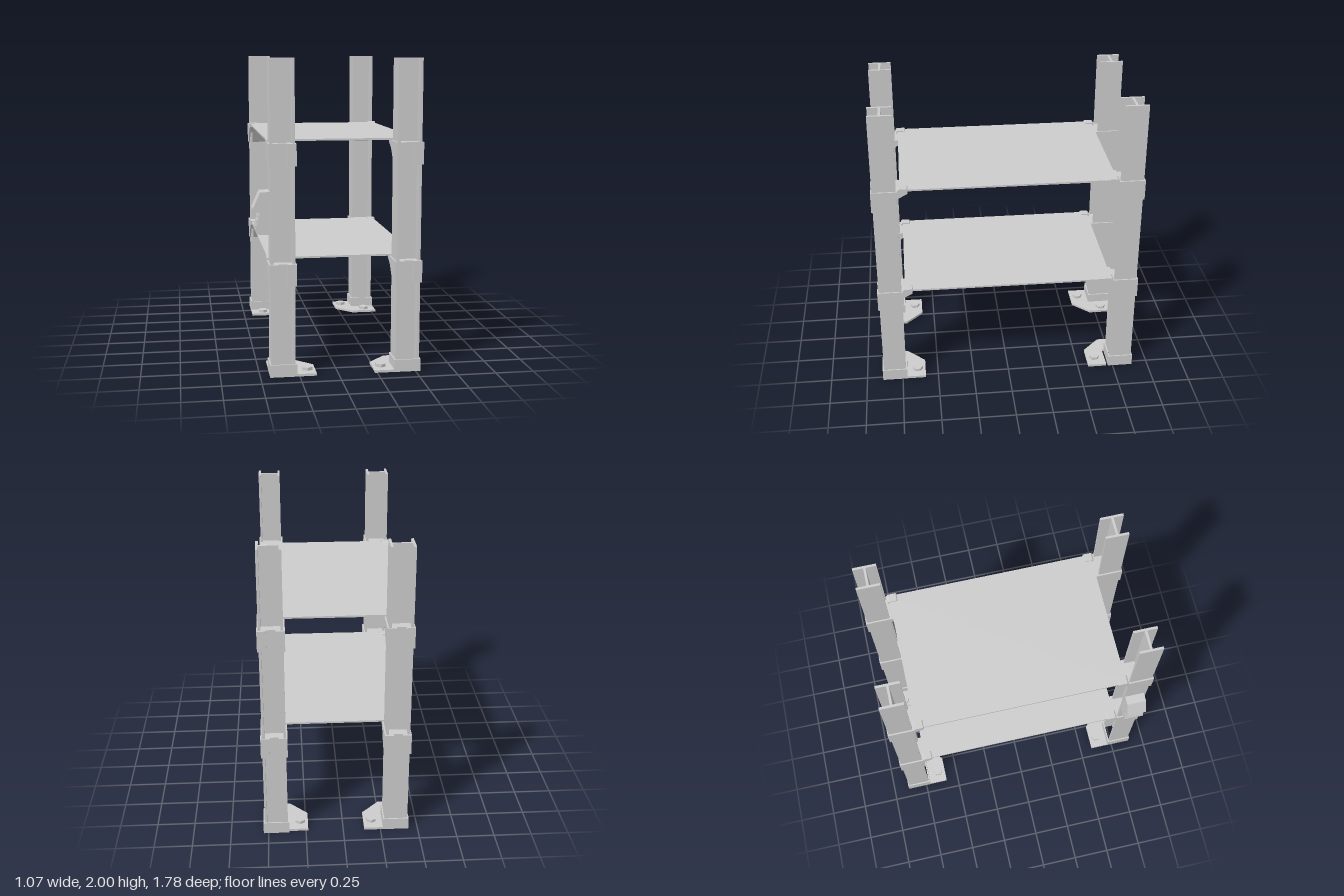
import * as THREE from 'three';

const grey = new THREE.MeshStandardMaterial({ color: 0xcccccc, flatShading: true });

function add(parent, name, geometry, x = 0, y = 0, z = 0) {
  const mesh = new THREE.Mesh(geometry, grey);
  mesh.name = name;
  mesh.position.set(x, y, z);
  parent.add(mesh);
  return mesh;
}

const box = (w, h, d) => new THREE.BoxGeometry(w, h, d);
const points = (list, sx = 1, sy = 1) => list.map(([x, y]) => new THREE.Vector2(x * sx, y * sy));
const extrude = (shape, depth) => new THREE.ExtrudeGeometry(shape, { depth, bevelEnabled: false });

// plan outline (x, z) raised along y
function plan(list, height, sx = 1, sz = 1, hole) {
  const shape = new THREE.Shape(points(list, sx, -sz));
  if (hole) shape.holes.push(new THREE.Path(points(hole)));
  return extrude(shape, height).rotateX(-Math.PI / 2);
}

// side outline (z, y) swept along x, centred
function side(list, width, sz = 1) {
  return extrude(new THREE.Shape(points(list, sz)), width).rotateY(-Math.PI / 2).translate(width / 2, 0, 0);
}

const square = (r) => [[-r, -r], [r, -r], [r, r], [-r, r]];
const shelfHeights = [0.725, 1.48];

// H-section post, open towards front and back
const H = 0.077, F = 0.061, W = 0.008;
const postOutline = [
  [-H, -H], [-F, -H], [-F, -W], [F, -W], [F, -H], [H, -H],
  [H, H], [F, H], [F, W], [-F, W], [-F, H], [-H, H],
];

// ix and iz point from the post towards the middle of the rack
function makeCorner(ix, iz) {
  const corner = new THREE.Group();
  add(corner, 'post', plan(postOutline, 1.995), 0, 0.005, 0);

  // foot: hollow socket, chamfered floor plate and two hexagonal bolts
  add(corner, 'footSocket', plan(square(0.086), 0.08, 1, 1, square(0.0765)));
  const plate = [
    [0.085, -0.085], [0.212, -0.085], [0.212, 0.095], [0.095, 0.215],
    [-0.085, 0.215], [-0.085, 0.085], [0.085, 0.085],
  ];
  const shift = ix < 0 && iz > 0 ? 0.014 : 0;
  add(corner, 'footPlate', plan(plate, 0.016, ix, iz), 0, 0, shift);
  for (const [x, z] of [[0.16, 0.003], [0, 0.16]]) {
    add(corner, 'footBolt', new THREE.CylinderGeometry(0.036, 0.036, 0.022, 6), x * ix, 0.025, z * iz + shift);
  }

  // clamps: notched collar with a sloping shelf support and a retaining lip
  const bracket = [
    [-0.066, -0.14], [0.013, -0.14], [0.085, -0.05], [0.15, -0.015],
    [0.15, -0.001], [-0.066, -0.001],
  ];
  for (const y of shelfHeights) {
    const clamp = new THREE.Group();
    clamp.name = 'shelfClamp';
    clamp.position.y = y;
    add(clamp, 'clampBody', side(bracket, 0.174, iz));
    for (const s of [-1, 1]) {
      add(clamp, 'clampJaw', box(0.058, 0.139, 0.021), s * 0.058, -0.0705, -0.0755 * iz);
    }
    const lip = [[0.086, -0.01], [0.15, -0.01], [0.153, 0.012], [0.147, 0.018], [0.096, 0.018], [0.086, 0.01]];
    add(clamp, 'clampLip', side(lip, 0.056, iz), -0.059 * ix, 0, 0);
    corner.add(clamp);
  }
  return corner;
}

// wall-hung keypad on the outer face of one post
function makeControlBox() {
  const control = new THREE.Group();
  control.name = 'controlBox';
  const outline = [
    [-0.43, 1.18], [-0.49, 1.18], [-0.537, 1.075], [-0.493, 1.045],
    [-0.522, 0.945], [-0.518, 0.925], [-0.5, 0.913], [-0.43, 0.91],
  ];
  const depth = 0.132;
  add(control, 'controlBody', extrude(new THREE.Shape(points(outline)), depth), 0, 0, 0.73);
  // keys follow the sloping panel
  const top = new THREE.Vector2(-0.493, 1.045), low = new THREE.Vector2(-0.522, 0.945);
  const tilt = Math.atan2(top.x - low.x, top.y - low.y);
  for (let row = 0; row < 3; row++) {
    for (let col = 0; col < 3; col++) {
      const p = top.clone().lerp(low, 0.2 + row * 0.3);
      const key = add(control, 'key', box(0.012, 0.022, 0.03), p.x, p.y, 0.796 + (col - 1) * 0.04);
      key.rotation.z = -tilt;
    }
  }
  return control;
}

export function createModel() {
  const rack = new THREE.Group();
  rack.name = 'shelvingRack';

  for (const [x, ix] of [[-0.353, 1], [0.447, -1]]) {
    for (const iz of [-1, 1]) {
      const corner = makeCorner(ix, iz);
      corner.name = (iz < 0 ? 'front' : 'back') + (ix > 0 ? 'Right' : 'Left') + 'Corner';
      corner.position.set(x, 0, -0.803 * iz);
      rack.add(corner);
    }
  }

  for (const y of shelfHeights) add(rack, 'shelf', box(0.96, 0.012, 1.406), 0.046, y + 0.005, 0);

  rack.add(makeControlBox());
  return rack;
}
